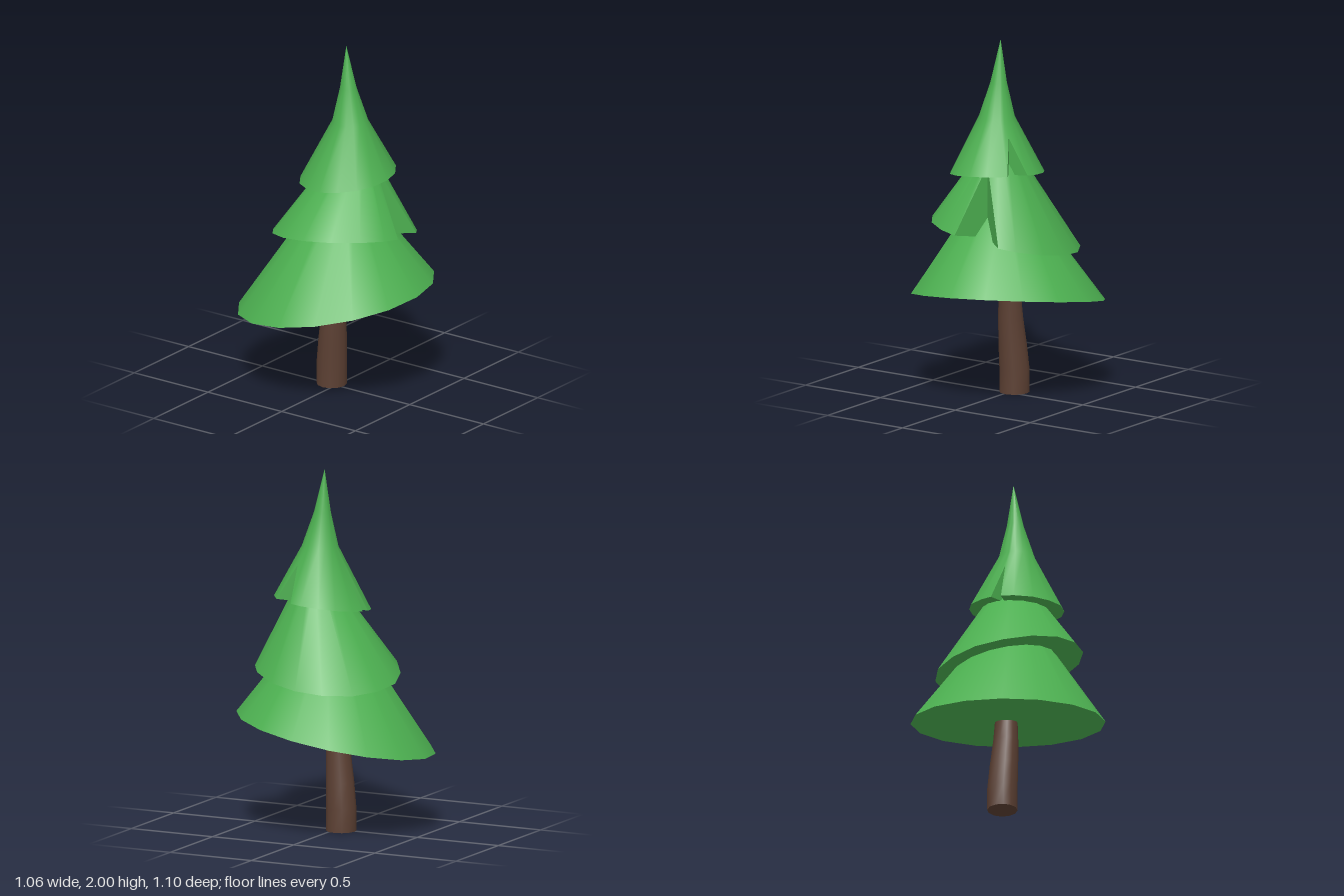
import * as THREE from 'three';
import { toCreasedNormals } from 'three/addons/utils/BufferGeometryUtils.js';

const green = new THREE.MeshStandardMaterial({ color: 0x4caf50 });
const brown = new THREE.MeshStandardMaterial({ color: 0x5c4033 });

// Regular outline [x, z], counter-clockwise seen from above
const oval = (n, rx, rz) => Array.from({ length: n }, (_, i) => {
  const a = (i / n) * Math.PI * 2;
  return [rx * Math.sin(a), rz * Math.cos(a)];
});

// Skirt: rim outline on a tilted plane, narrowing through rings [y, cx, cz, r] to a tip.
// A rim point [x, z, top] is a notch: a vertical inner edge up to the height top.
function skirt(name, material, { outline, plane, centre, rings, tip, crease = 0.7 }) {
  const pos = [];
  const tri = (a, b, c) => pos.push(...a, ...b, ...c);
  const [h, sx, sz] = plane;
  const height = (x, z) => h + sx * x + sz * z;
  const [cx, cz] = centre;
  const base = outline.map(([x, z]) => [x, height(x, z), z]);
  const edge = outline.map(([x, z, top], i) => (top ? [x, top, z] : base[i]));
  const angles = outline.map(([x, z]) => Math.atan2(x - cx, z - cz));
  const levels = [edge, ...rings.map(([y, x, z, r]) =>
    angles.map(a => [x + r * Math.sin(a), y, z + r * Math.cos(a)]))];
  const middle = [cx, height(cx, cz), cz];
  const n = outline.length;
  for (let i = 0; i < n; i++) {
    const j = (i + 1) % n;
    // outer surface
    for (let k = 0; k + 1 < levels.length; k++) {
      const lo = levels[k], hi = levels[k + 1];
      tri(lo[i], lo[j], hi[j]);
      tri(lo[i], hi[j], hi[i]);
    }
    const last = levels[levels.length - 1];
    tri(last[i], last[j], tip);
    // notch walls
    if (outline[j][2]) tri(base[i], base[j], edge[j]);
    if (outline[i][2]) tri(base[i], base[j], edge[i]);
    // underside
    tri(middle, base[j], base[i]);
  }
  const geometry = new THREE.BufferGeometry();
  geometry.setAttribute('position', new THREE.Float32BufferAttribute(pos, 3));
  const mesh = new THREE.Mesh(toCreasedNormals(geometry, crease), material);
  mesh.name = name;
  return mesh;
}

export function createModel() {
  const tree = new THREE.Group();
  tree.name = 'pineTree';

  // Bent trunk
  tree.add(skirt('trunk', brown, {
    outline: oval(12, 0.083, 0.083).map(([x, z]) => [x + 0.015, z - 0.04]),
    plane: [0, 0, 0],
    centre: [0.015, -0.04],
    rings: [[0.13, 0.015, -0.04, 0.083], [0.27, 0.01, -0.03, 0.078],
      [0.42, 0.005, -0.018, 0.069], [0.58, 0.007, -0.005, 0.06]],
    tip: [0.007, 0.58, -0.005],
  }));

  // Wide lower tier, raised at the front
  tree.add(skirt('lowerBranches', green, {
    outline: oval(16, 0.53, 0.55),
    plane: [0.54, 0.08, 0.18],
    centre: [0, 0],
    rings: [[1.15, -0.01, 0.05, 0.11]],
    tip: [0, 1.2, 0.06],
  }));

  // Middle tier with one notch at the front
  tree.add(skirt('middleBranches', green, {
    outline: [[0.033, 0.24, 1.33], [0.21, 0.39], [0.29, 0.335], [0.38, 0.2], [0.41, 0.04],
      [0.385, -0.115], [0.3, -0.26], [0.17, -0.345], [0.02, -0.375], [-0.13, -0.33],
      [-0.26, -0.24], [-0.35, -0.1], [-0.38, 0.055], [-0.35, 0.22], [-0.26, 0.355],
      [-0.14, 0.435], [-0.04, 0.45]],
    plane: [0.9, -0.17, 0.13],
    centre: [0.015, 0.04],
    rings: [[1.4, 0.02, 0.11, 0.09]],
    tip: [0.02, 1.43, 0.11],
  }));

  // Top tier with two notches and a drawn-out tip
  tree.add(skirt('topBranches', green, {
    outline: [[-0.01, 0.355], [0.09, 0.335], [0.185, 0.27], [0.125, 0.17, 1.48], [0.24, 0.155],
      [0.255, 0.09], [0.23, -0.01], [0.18, -0.09], [0.09, -0.15], [0.02, -0.175],
      [-0.01, -0.055, 1.465], [-0.04, -0.175], [-0.11, -0.16], [-0.2, -0.1], [-0.255, -0.01],
      [-0.275, 0.09], [-0.25, 0.19], [-0.19, 0.28], [-0.11, 0.335]],
    plane: [1.246, 0.09, 0.1],
    centre: [-0.01, 0.09],
    rings: [[1.57, -0.005, 0.1, 0.1], [1.76, -0.003, 0.085, 0.046]],
    tip: [0, 2, 0.07],
  }));

  return tree;
}
